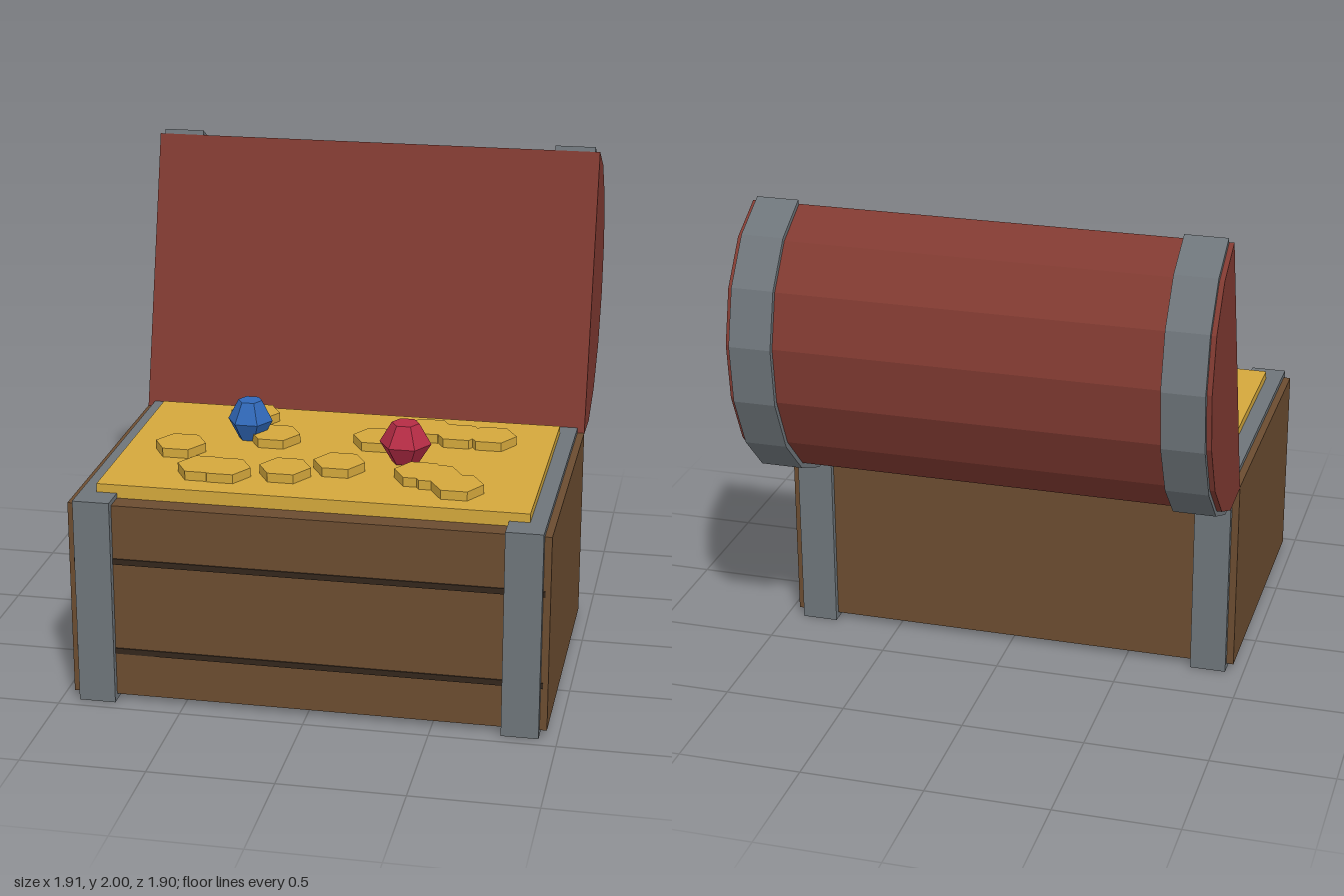
import * as THREE from 'three';

const mat = (name, color) => {
  const m = new THREE.MeshStandardMaterial({ color });
  m.name = name;
  return m;
};

export function createModel() {
  const wood = mat('wood', 0x6b4c30);
  const gap = mat('dark gap', 0x33261c);
  const iron = mat('iron', 0x6e757a);
  const red = mat('red lid', 0x803a31);
  const gold = mat('gold', 0xd4a83c);
  const ruby = mat('ruby', 0xb52c45);
  const sapphire = mat('sapphire', 0x3068b8);

  const model = new THREE.Group();
  model.name = 'treasureChest';

  const add = (name, geometry, material, x = 0, y = 0, z = 0) => {
    const mesh = new THREE.Mesh(geometry, material);
    mesh.name = name;
    mesh.position.set(x, y, z);
    model.add(mesh);
    return mesh;
  };

  // Box given by its limits on each axis
  const box = (name, material, [x0, x1], [y0, y1], [z0, z1]) =>
    add(name, new THREE.BoxGeometry(x1 - x0, y1 - y0, z1 - z0), material,
      (x0 + x1) / 2, (y0 + y1) / 2, (z0 + z1) / 2);

  // Chest body with plank gaps on the front
  box('body', wood, [-0.955, 0.955], [0.025, 0.835], [-0.27, 0.92]);
  for (const y of [0.215, 0.6]) {
    box('plankGap', gap, [-0.935, 0.935], [y - 0.012, y + 0.012], [0.917, 0.925]);
  }

  // Open lid: a half ellipse of eight facets leaning back from the hinge
  const tilt = Math.atan2(0.315, 1.15);
  const lidSlice = (halfChord, depth, width, recess) => {
    const shape = new THREE.Shape();
    for (let i = 0; i <= 8; i++) {
      const a = (i / 8) * Math.PI;
      const out = -Math.max(depth * Math.sin(a), recess);
      const up = halfChord * Math.cos(a);
      const z = out * Math.cos(tilt) - up * Math.sin(tilt);
      const y = out * Math.sin(tilt) + up * Math.cos(tilt);
      if (i === 0) shape.moveTo(z, y);
      else shape.lineTo(z, y);
    }
    return new THREE.ExtrudeGeometry(shape, { depth: width, bevelEnabled: false })
      .translate(0, 0, -width / 2).rotateY(-Math.PI / 2);
  };
  add('lid', lidSlice(0.596, 0.5, 1.91, 0), red, 0, 1.405, -0.4275);

  // Iron straps around the body and over the lid
  for (const side of [-1, 1]) {
    box('bodyStrap', iron, [side * 0.852 - 0.074, side * 0.852 + 0.074], [0, 0.855], [-0.297, 0.95]);
    add('lidStrap', lidSlice(0.616, 0.522, 0.17, 0.002), iron, side * 0.85, 1.405, -0.4275);
  }

  // Gold filling and loose six-sided coins
  box('goldPile', gold, [-0.86, 0.86], [0.8, 0.89], [-0.185, 0.835]);
  const coin = new THREE.CylinderGeometry(0.105, 0.105, 0.045, 6)
    .rotateY(Math.PI / 6).toNonIndexed();
  coin.computeVertexNormals();
  const coins = [
    [-0.415, -0.025], [-0.275, 0.22], [-0.63, 0.4], [-0.475, 0.64], [-0.385, 0.645],
    [-0.15, 0.6], [0.05, 0.5], [0.15, 0.18], [0.335, 0.03], [0.47, 0.075],
    [0.605, 0.08], [0.385, 0.545], [0.45, 0.565], [0.55, 0.655],
  ];
  for (const [x, z] of coins) add('coin', coin, gold, x, 0.905, z);

  // Faceted gems: flat top, wide girdle, flat base
  const gem = (name, material, r, x, y, z) => {
    const profile = [[0, -0.08], [r * 0.53, -0.08], [r, 0], [r * 0.53, 0.085], [0, 0.085]]
      .map(([px, py]) => new THREE.Vector2(px, py));
    const g = new THREE.LatheGeometry(profile, 6, Math.PI / 6).toNonIndexed();
    g.computeVertexNormals();
    add(name, g, material, x, y, z);
  };
  gem('redGem', ruby, 0.106, 0.295, 0.975, 0.368);
  gem('blueGem', sapphire, 0.094, -0.385, 0.97, 0.197);

  return model;
}
